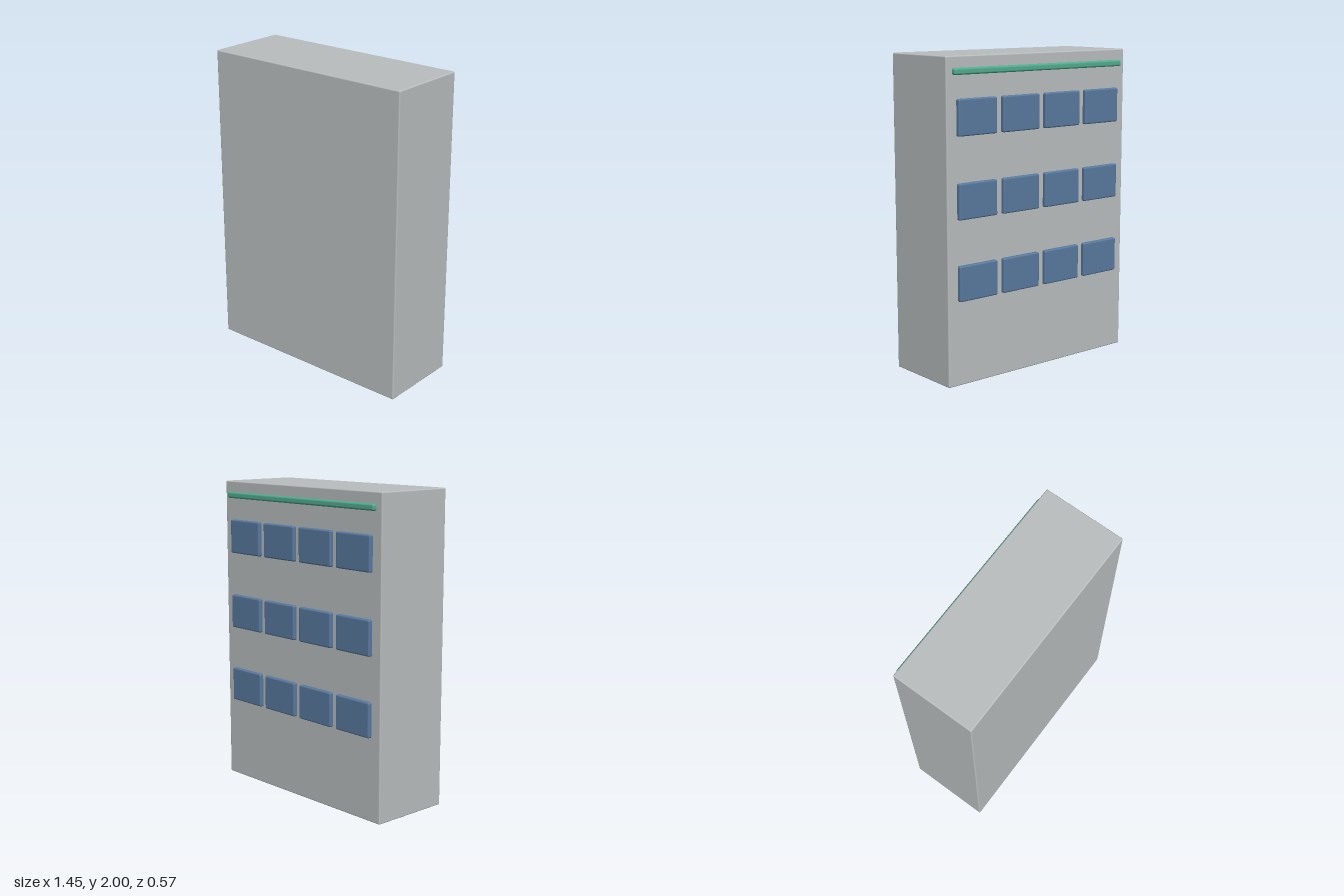
import * as THREE from 'three';
import { RoundedBoxGeometry } from 'three/addons/geometries/RoundedBoxGeometry.js';

const casing = new THREE.MeshStandardMaterial({ name: 'casing grey', color: 0xb9bdbd });
const blue = new THREE.MeshStandardMaterial({ name: 'panel blue', color: 0x58799f });
const green = new THREE.MeshStandardMaterial({ name: 'strip green', color: 0x50ad8f });

const BACK = -0.259; // back plane of the cabinet
const FRONT = 0.285;
const OUT = -0.285; // outer plane of the fittings

// Softly rounded box given by its centre and size
function roundedBox(name, material, [w, h, d], [x, y, z], radius) {
  const mesh = new THREE.Mesh(new RoundedBoxGeometry(w, h, d, 3, radius), material);
  mesh.name = name;
  mesh.position.set(x, y, z);
  return mesh;
}

export function createModel() {
  const model = new THREE.Group();
  model.name = 'cabinet';

  // Main casing
  model.add(roundedBox('cabinetBody', casing, [1.45, 2, FRONT - BACK], [0, 1, (FRONT + BACK) / 2], 0.008));

  // Three rows of four panels, partly sunk into the back
  const panels = new THREE.Group();
  panels.name = 'panels';
  const depth = 0.05;
  for (let row = 0; row < 3; row++) {
    for (let col = 0; col < 4; col++) {
      const x = (col - 1.5) * 0.338;
      const y = 0.64 + row * 0.5;
      panels.add(roundedBox(`panel${row + 1}_${col + 1}`, blue, [0.29, 0.22, depth], [x, y, OUT + depth / 2], 0.01));
    }
  }
  model.add(panels);

  // Long strip above the panels
  model.add(roundedBox('topStrip', green, [1.36, 0.04, depth], [0, 1.91, OUT + depth / 2], 0.012));

  return model;
}
